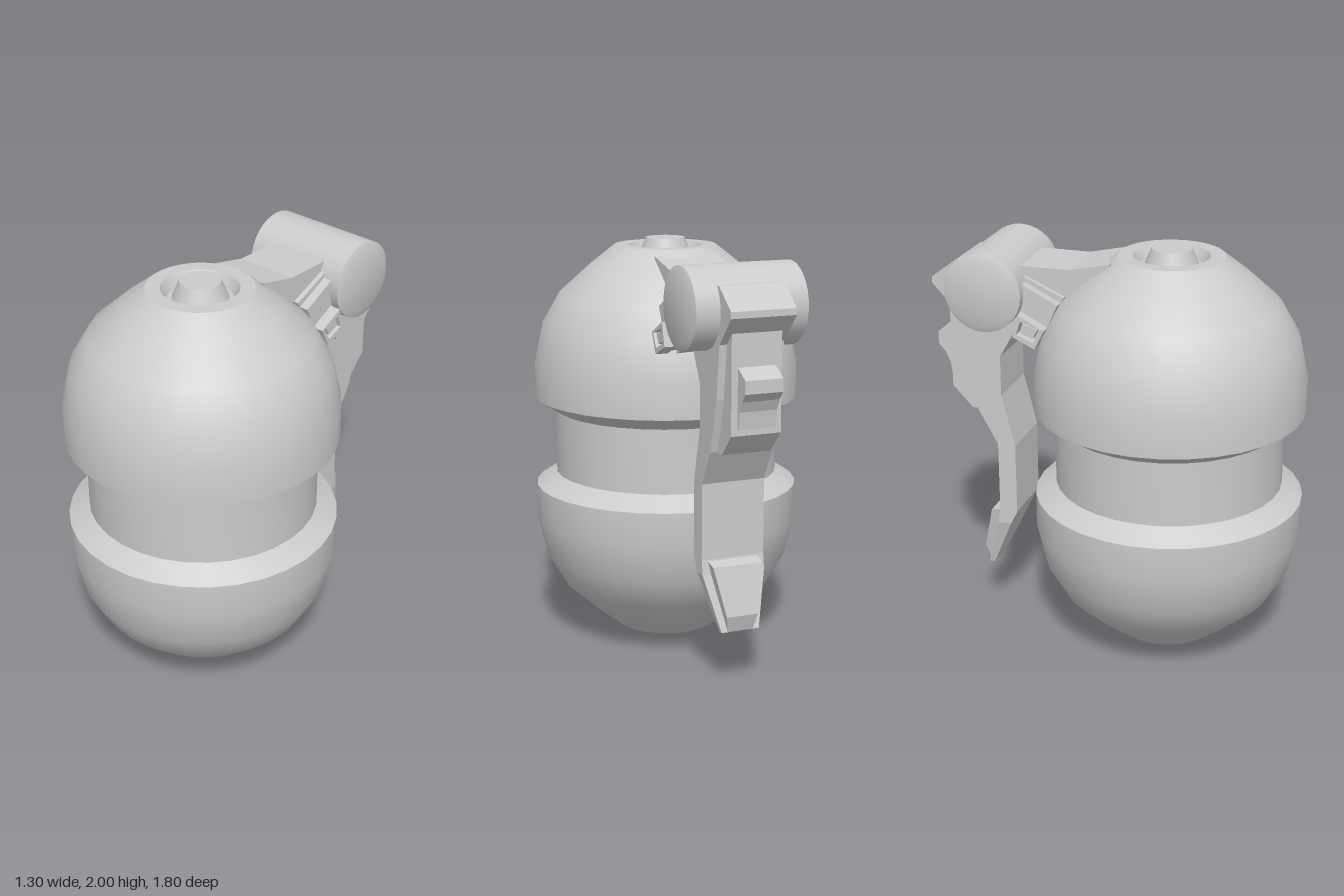
import * as THREE from 'three';
import { toCreasedNormals } from 'three/addons/utils/BufferGeometryUtils.js';

const material = new THREE.MeshStandardMaterial({ color: 0xcccccc });
const vec = (list) => list.map(([a, b]) => new THREE.Vector2(a, b));

function add(parent, name, geometry) {
  const mesh = new THREE.Mesh(geometry, material);
  mesh.name = name;
  parent.add(mesh);
  return mesh;
}

// Smooth turned solid with sharp edges where the profile turns hard.
const turned = (profile, segments) =>
  toCreasedNormals(new THREE.LatheGeometry(vec(profile), segments), 0.48);

// Side outline given as [distance behind centre, height], extruded from x0 to x1.
function plate(outline, x0, x1, hole) {
  const shape = new THREE.Shape(vec(outline));
  if (hole) shape.holes.push(new THREE.Path(vec(hole)));
  const geometry = new THREE.ExtrudeGeometry(shape, { depth: x1 - x0, bevelEnabled: false });
  return geometry.translate(0, 0, x0).rotateY(Math.PI / 2);
}

// Narrow the width towards the tip below a given height.
function taper(geometry, top, bottom, tipScale) {
  const p = geometry.attributes.position;
  for (let i = 0; i < p.count; i++) {
    const t = THREE.MathUtils.clamp((top - p.getY(i)) / (top - bottom), 0, 1);
    p.setX(i, p.getX(i) * (1 - t * (1 - tipScale)));
  }
  geometry.computeVertexNormals();
  return geometry;
}

export function createModel() {
  const group = new THREE.Group();

  // Capsule body: two domes, a recessed waist and a stud in each end.
  const lower = [
    [0, 0], [0.095, 0], [0.13, 0.09], [0.15, 0.09], [0.18, 0.04], [0.25, 0.04],
    [0.37, 0.135], [0.52, 0.27], [0.607, 0.42], [0.65, 0.61], [0.65, 0.78], [0.55, 0.845],
  ];
  const upper = lower.map(([r, y]) => [r, 2.005 - y]).reverse();
  upper[upper.length - 1][1] = upper[upper.length - 2][1] = 2;
  add(group, 'body', turned([...lower, ...upper], 32)).position.z = 0.25;

  // Hinge barrel with chamfered ends.
  const barrel = turned([
    [0, -0.283], [0.155, -0.283], [0.19, -0.268], [0.19, 0.268], [0.155, 0.283], [0, 0.283],
  ], 32);
  barrel.rotateZ(-Math.PI / 2).translate(0, 1.78, -0.59);
  add(group, 'hingeBarrel', barrel);

  // Arm from the upper dome through the hinge to the rear hood.
  add(group, 'arm', plate([
    [0, 1.94], [0.05, 1.8], [0.24, 1.76], [0.6, 1.7], [0.77, 1.64],
    [0.89, 1.77], [0.89, 1.8], [0.76, 1.895], [0.2, 1.895],
  ], -0.155, 0.155));

  // Angled bracket under the arm.
  add(group, 'bracket', plate([
    [0.22, 1.765], [0.33, 1.53], [0.47, 1.58], [0.6, 1.7], [0.5, 1.89],
  ], -0.18, 0.18));

  // Framed catches on both sides of the bracket.
  for (const side of [-1, 1]) {
    const range = (a, b) => (side > 0 ? [a, b] : [-b, -a]);
    add(group, 'catchBase', plate([
      [0.235, 1.74], [0.325, 1.545], [0.45, 1.595], [0.52, 1.72], [0.43, 1.84],
    ], ...range(0.17, 0.225)));
    add(group, 'catchFrame', plate(
      [[0.283, 1.63], [0.33, 1.535], [0.44, 1.585], [0.41, 1.695]], ...range(0.22, 0.28),
      [[0.3, 1.63], [0.338, 1.565], [0.42, 1.6], [0.4, 1.665]],
    ));
    add(group, 'catchPin', plate(
      [[0.318, 1.628], [0.343, 1.583], [0.405, 1.606], [0.39, 1.65]], ...range(0.22, 0.27),
    ));
  }

  // Safety lever hanging behind the body, tapered at the tail.
  add(group, 'lever', taper(plate([
    [0.47, 1.58], [0.555, 1.43], [0.555, 1.23], [0.49, 0.97], [0.49, 0.61],
    [0.525, 0.54], [0.645, 0.275], [0.672, 0.28], [0.592, 0.54], [0.58, 0.61],
    [0.58, 0.97], [0.675, 1.14], [0.74, 1.39], [0.77, 1.65], [0.6, 1.75],
  ], -0.155, 0.155), 0.54, 0.275, 0.6));

  // Raised grip on the tail.
  add(group, 'tailGrip', taper(plate([
    [0.57, 0.605], [0.58, 0.54], [0.66, 0.285], [0.672, 0.28], [0.697, 0.36], [0.64, 0.587],
  ], -0.125, 0.125), 0.6, 0.28, 0.5));

  // Back pad with a hooked thumb rest.
  add(group, 'backPad', plate([
    [0.66, 1.7], [0.66, 1.135], [0.72, 1.135], [0.82, 1.24], [0.82, 1.7],
  ], -0.12, 0.12));
  add(group, 'thumbRest', plate([
    [0.8, 1.55], [0.8, 1.27], [0.832, 1.27], [0.842, 1.35], [0.865, 1.4],
    [0.9, 1.44], [0.9, 1.5], [0.82, 1.545],
  ], -0.09, 0.09));

  return group;
}
